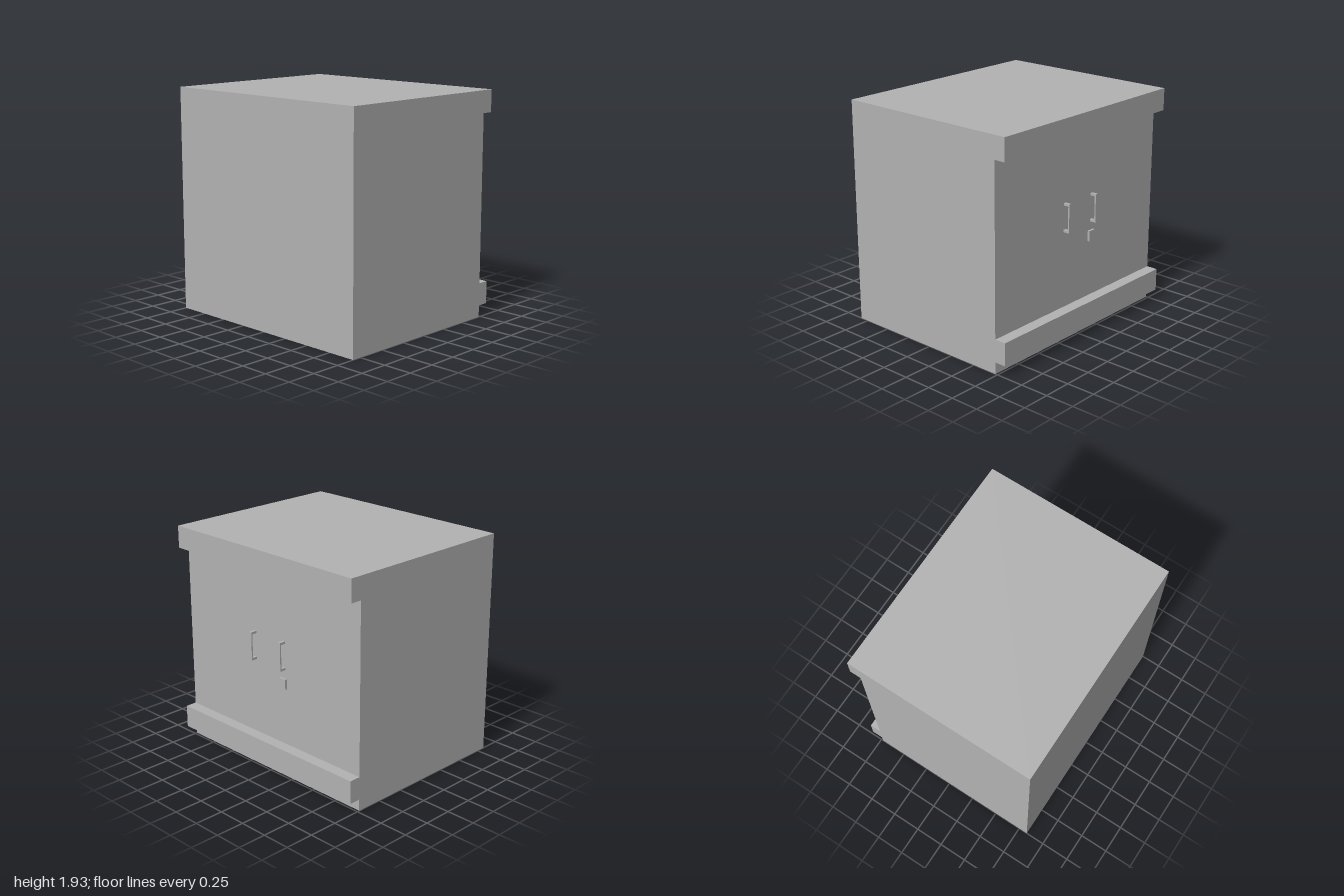
import * as THREE from 'three';

// Side outline as [z, y]: up the front, back over the top, down the stepped back
const FRONT = 0.83, BACK = -0.73, RAIL = -0.83, TOP = 1.93, FLOOR = 0.1;
const outline = [
  [FRONT, 0], [FRONT, TOP], [RAIL, TOP], [RAIL, 1.74], [BACK, 1.74],
  [BACK, 0.295], [RAIL, 0.295], [RAIL, FLOOR], [BACK, FLOOR], [BACK, 0],
];

export function createModel() {
  const group = new THREE.Group();
  const grey = new THREE.MeshStandardMaterial({ color: 0xb2b2b2, side: THREE.DoubleSide });
  grey.name = 'plain grey';

  function add(name, geometry, x = 0, y = 0, z = 0, parent = group) {
    const mesh = new THREE.Mesh(geometry, grey);
    mesh.name = name;
    mesh.position.set(x, y, z);
    parent.add(mesh);
    return mesh;
  }

  // Full-width sheet between two outline points
  function panel(name, [z1, y1], [z2, y2]) {
    const geometry = new THREE.PlaneGeometry(2, Math.hypot(z2 - z1, y2 - y1));
    geometry.rotateX(Math.atan2(z2 - z1, y2 - y1));
    add(name, geometry, 0, (y1 + y2) / 2, (z1 + z2) / 2);
  }

  // Sheet shell: the top rail is open underneath, the body has no base below its floor
  const names = ['frontPanel', 'topPanel', 'topRailBack', null, 'doorPanel',
    'lowerRailTop', 'lowerRailBack', null, 'backSkirt'];
  names.forEach((name, i) => name && panel(name, outline[i], outline[i + 1]));
  panel('raisedFloor', [RAIL, FLOOR], [FRONT, FLOOR]);

  // Side panels
  const shape = new THREE.Shape(outline.map(([z, y]) => new THREE.Vector2(-z, y)));
  for (const side of [-1, 1]) {
    const geometry = new THREE.ShapeGeometry(shape);
    geometry.rotateY(Math.PI / 2);
    const mesh = add(side > 0 ? 'leftSide' : 'rightSide', geometry, side);
    if (side < 0) {
      mesh.rotation.y = Math.PI;
      mesh.scale.z = -1;
    }
  }

  // Pull handles: an upright bar on two short arms
  for (const [name, x] of [['leftHandle', 0.175], ['rightHandle', -0.165]]) {
    const handle = new THREE.Group();
    handle.name = name;
    handle.position.set(x, 1.0725, BACK);
    add('handleBar', new THREE.BoxGeometry(0.025, 0.245, 0.012), 0, 0, -0.05, handle);
    for (const s of [-1, 1]) {
      add('handleArm', new THREE.BoxGeometry(0.025, 0.02, 0.044), 0, s * 0.1125, -0.022, handle);
    }
    group.add(handle);
  }

  // Latch plate below the right handle
  add('latchPlate', new THREE.BoxGeometry(0.065, 0.09, 0.02), -0.16, 0.83, BACK - 0.01);

  return group;
}
